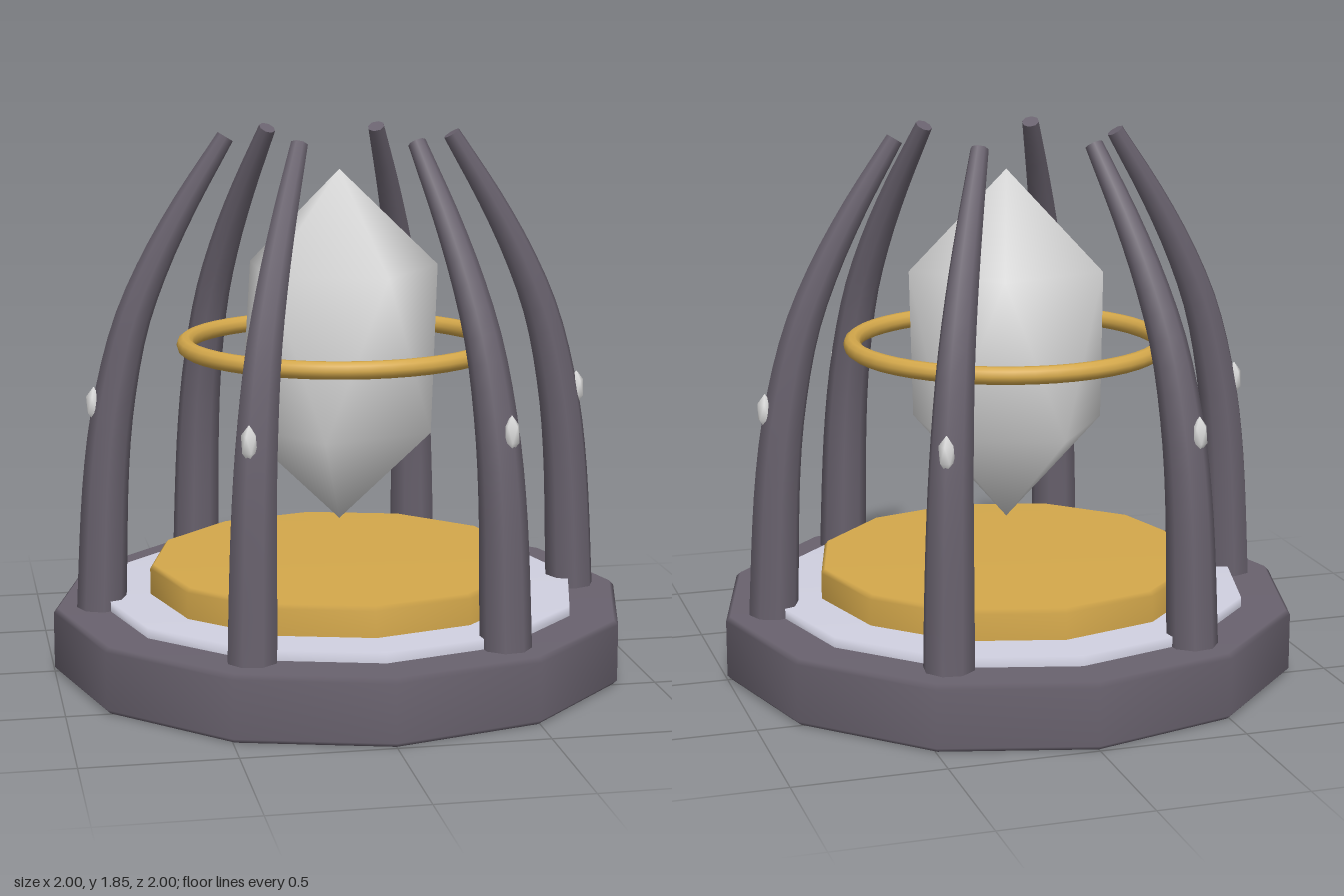
import * as THREE from 'three';

const mat = (name, color, side = THREE.FrontSide) => {
  const m = new THREE.MeshStandardMaterial({ color, side });
  m.name = name;
  return m;
};

// twelve-sided disc; profile runs from bottom centre to top centre
function disc(name, profile, material) {
  const geo = new THREE.LatheGeometry(profile.map(([r, y]) => new THREE.Vector2(r, y)), 12);
  const mesh = new THREE.Mesh(geo, material);
  mesh.name = name;
  return mesh;
}

// pointed crystal: two staggered rings of five between two tips, centred on the origin
function crystalGeometry() {
  const half = 0.61, ringY = 0.275, r = 0.345, n = 5;
  const pos = [0, half, 0];
  for (const [y, turn] of [[ringY, 0], [-ringY, Math.PI / n]]) {
    for (let i = 0; i < n; i++) {
      const a = turn + i * 2 * Math.PI / n;
      pos.push(r * Math.cos(a), y, -r * Math.sin(a));
    }
  }
  pos.push(0, -half, 0);
  const index = [];
  for (let i = 0; i < n; i++) {
    const j = (i + 1) % n;
    const u0 = 1 + i, u1 = 1 + j, l0 = 1 + n + i, l1 = 1 + n + j;
    index.push(0, u0, u1, u0, l0, u1, u1, l0, l1, l0, 2 * n + 1, l1);
  }
  const geo = new THREE.BufferGeometry();
  geo.setAttribute('position', new THREE.Float32BufferAttribute(pos, 3));
  geo.setIndex(index);
  geo.computeVertexNormals();
  return geo;
}

// tapered tube along the claw's curve
function clawGeometry(path) {
  const geo = new THREE.TubeGeometry(path, 20, 1, 8, false);
  const p = geo.attributes.position, v = new THREE.Vector3();
  for (let i = 0; i < p.count; i++) {
    const t = geo.attributes.uv.getX(i);
    const c = path.getPointAt(t);
    v.fromBufferAttribute(p, i).sub(c).multiplyScalar(0.085 - 0.055 * Math.pow(t, 1.6)).add(c);
    p.setXYZ(i, v.x, v.y, v.z);
  }
  return geo;
}

export function createModel() {
  const model = new THREE.Group();
  model.name = 'crystalPedestal';
  const dark = mat('darkStone', 0x69626e);
  const silver = mat('silver', 0xd0d0e0);
  const gold = mat('gold', 0xd4a84b);
  const pale = mat('paleCrystal', 0xe0e0e0);

  // stepped base
  model.add(
    disc('base', [[0, 0], [0.985, 0], [1, 0.015], [1, 0.21], [0.985, 0.225], [0, 0.225]], dark),
    disc('silverStep', [[0.83, 0.22], [0.83, 0.26], [0, 0.26]], silver),
    disc('goldPlate', [[0.665, 0.25], [0.665, 0.35], [0.652, 0.365], [0, 0.365]], gold)
  );

  // floating crystal and its ring
  const crystalGeo = crystalGeometry();
  const crystal = new THREE.Mesh(crystalGeo, pale);
  crystal.name = 'crystal';
  crystal.position.y = 1.11;
  const ring = new THREE.Mesh(new THREE.TorusGeometry(0.53, 0.03, 10, 48), gold);
  ring.name = 'floatingRing';
  ring.rotation.x = Math.PI / 2;
  ring.position.y = 1.12;
  model.add(crystal, ring);

  // six curved claws, each with a small gem on its outer face
  const path = new THREE.CatmullRomCurve3([
    [0.835, 0.21], [0.81, 0.7], [0.78, 0.94], [0.72, 1.2], [0.64, 1.4], [0.535, 1.6], [0.39, 1.835]
  ].map(([x, y]) => new THREE.Vector3(x, y, 0)));
  const clawGeo = clawGeometry(path);
  const tipGeo = new THREE.CircleGeometry(0.03, 8);
  const tipPoint = path.getPointAt(1), tipDir = path.getTangentAt(1);
  for (let i = 0; i < 6; i++) {
    const claw = new THREE.Group();
    claw.name = 'claw' + (i + 1);
    const shaft = new THREE.Mesh(clawGeo, dark);
    shaft.name = 'clawShaft';
    const tip = new THREE.Mesh(tipGeo, dark);
    tip.name = 'clawTip';
    tip.position.copy(tipPoint);
    tip.lookAt(tipPoint.clone().add(tipDir));
    const gem = new THREE.Mesh(crystalGeo, pale);
    gem.name = 'clawGem';
    gem.scale.set(0.075, 0.1, 0.075);
    gem.position.set(0.848, 0.935, 0);
    claw.add(shaft, tip, gem);
    claw.rotation.y = i * Math.PI / 3;
    model.add(claw);
  }
  return model;
}
